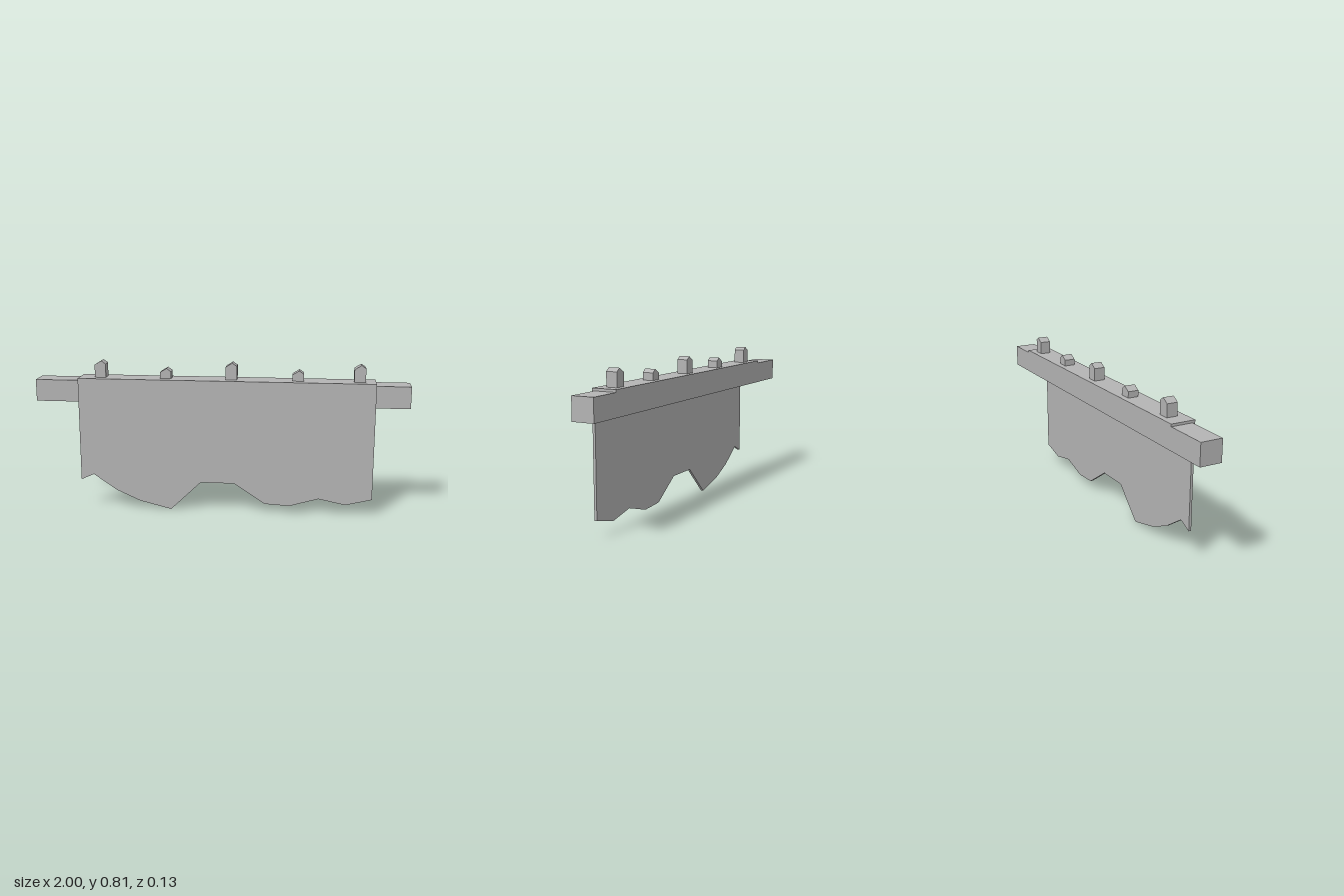
import * as THREE from 'three';

// Extrude a polygon in x/y from z0 to z1
function slab(points, z0, z1) {
  const shape = new THREE.Shape(points.map(([x, y]) => new THREE.Vector2(x, y)));
  const geometry = new THREE.ExtrudeGeometry(shape, { depth: z1 - z0, bevelEnabled: false });
  return geometry.translate(0, 0, z0);
}

// Box given by its minimum and maximum corners
function block([x0, y0, z0], [x1, y1, z1]) {
  return new THREE.BoxGeometry(x1 - x0, y1 - y0, z1 - z0)
    .translate((x0 + x1) / 2, (y0 + y1) / 2, (z0 + z1) / 2);
}

export function createModel() {
  const model = new THREE.Group();
  model.name = 'hangingCloth';
  const grey = new THREE.MeshStandardMaterial({ color: 0xb4b4b4 });
  grey.name = 'grey';

  const add = (name, geometry) => {
    const mesh = new THREE.Mesh(geometry, grey);
    mesh.name = name;
    model.add(mesh);
  };

  const left = 0.82, right = -0.765, top = 0.72;
  const beamTop = 0.707, back = -0.066, beamFront = 0.052, front = 0.066;

  // Square beam
  add('beam', block([-1, 0.59, back], [1, beamTop, beamFront]));

  // Hanging sheet with a ragged lower edge
  const hem = [
    [right, 0.155], [-0.695, 0.187], [-0.567, 0.1], [-0.44, 0.043],
    [-0.267, 0], [-0.103, 0.158], [0.08, 0.158], [0.246, 0.048],
    [0.38, 0.041], [0.535, 0.086], [0.68, 0.057], [left, 0.091],
  ];
  add('hangingSheet', slab([...hem, [left, top], [right, top]], beamFront, front));

  // Fold of the sheet lying over the beam
  add('topFold', block([right, beamTop, back], [left, top, beamFront]));

  // Pointed pegs, alternately tall and short
  const pegs = [[-0.65, 0.81], [-0.295, 0.775], [0.058, 0.81], [0.412, 0.775], [0.735, 0.81]];
  pegs.forEach(([x, peak], i) => {
    const outline = [
      [x - 0.03, top], [x + 0.03, top], [x + 0.03, peak - 0.017],
      [x + 0.006, peak], [x - 0.03, peak - 0.022],
    ];
    add(`peg${i + 1}`, slab(outline, -0.035, 0.023));
  });

  return model;
}
